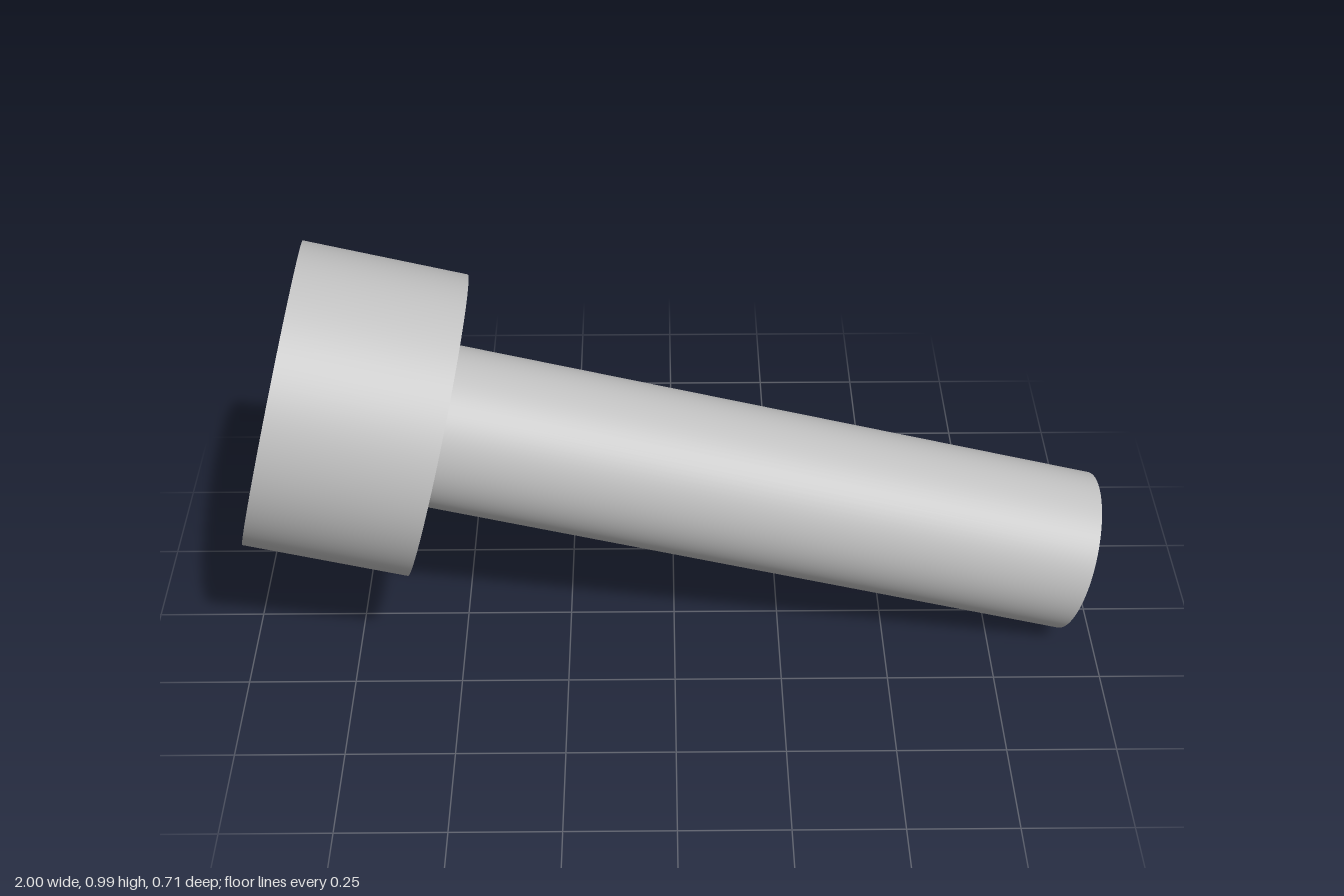
import * as THREE from 'three';

const HEAD_RADIUS = 0.353, HEAD_LENGTH = 0.381;
const SHAFT_RADIUS = 0.19, TOTAL_LENGTH = 1.926;
const TILT = Math.atan(0.25);

export function createModel() {
  const model = new THREE.Group();
  model.name = 'bolt';
  const steel = new THREE.MeshStandardMaterial({ color: 0xc0c0c0 });
  steel.name = 'steel grey';

  // Local +y runs from the head's outer face to the shaft tip
  const body = new THREE.Group();
  body.name = 'boltBody';
  body.position.set(-0.914, 0.185 + TOTAL_LENGTH * Math.sin(TILT), 0);
  body.rotation.z = -(Math.PI / 2 + TILT);
  model.add(body);

  const addCylinder = (name, radius, start, end) => {
    const geometry = new THREE.CylinderGeometry(radius, radius, end - start, 96);
    const mesh = new THREE.Mesh(geometry, steel);
    mesh.name = name;
    mesh.position.y = (start + end) / 2;
    body.add(mesh);
  };

  // Wide head, then the plain shaft
  addCylinder('head', HEAD_RADIUS, 0, HEAD_LENGTH);
  addCylinder('shaft', SHAFT_RADIUS, HEAD_LENGTH, TOTAL_LENGTH);

  return model;
}
